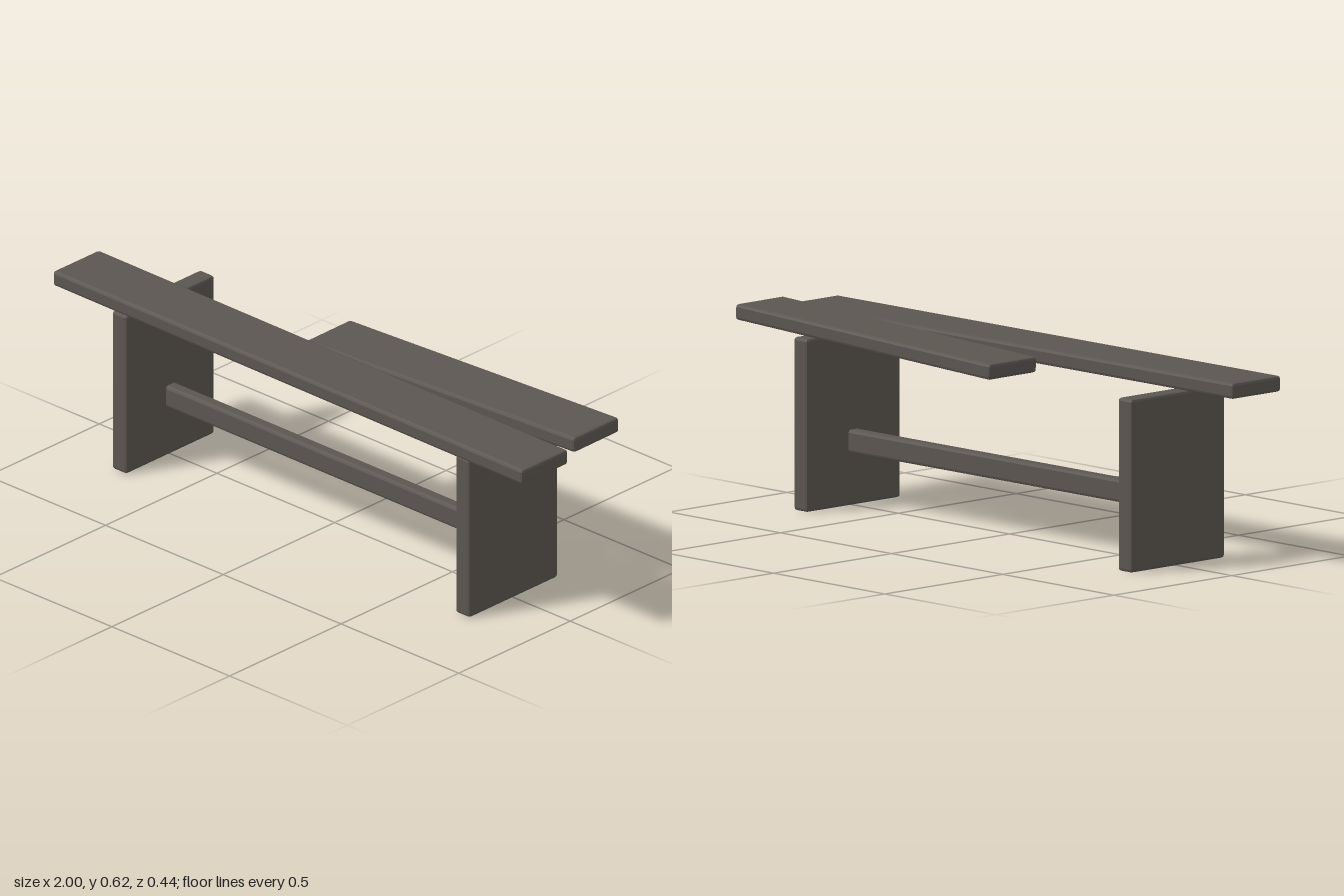
import * as THREE from 'three';
import { RoundedBoxGeometry } from 'three/addons/geometries/RoundedBoxGeometry.js';

const wood = new THREE.MeshStandardMaterial({ color: 0x5c5651, flatShading: true });

// A wooden board with narrow chamfered edges
function board(name, size, position, yaw = 0, roll = 0) {
  const mesh = new THREE.Mesh(new RoundedBoxGeometry(...size, 1, 0.009), wood);
  mesh.name = name;
  mesh.position.set(...position);
  mesh.rotation.set(0, yaw, roll);
  return mesh;
}

export function createModel() {
  const bench = new THREE.Group();
  bench.name = 'brokenBench';

  // Upright slab legs
  bench.add(board('rightLeg', [0.062, 0.543, 0.397], [-0.727, 0.2715, 0.001]));
  bench.add(board('leftLeg', [0.062, 0.543, 0.397], [0.731, 0.2715, 0.001]));

  // Rail between the legs
  bench.add(board('stretcher', [1.42, 0.072, 0.044], [0, 0.203, 0], 0, -0.002));

  // Full-length front plank
  bench.add(board('frontPlank', [2, 0.05, 0.206], [0, 0.572, 0.109], -0.003, -0.004));

  // Broken-off back plank, sagging at its free end
  bench.add(board('backPlank', [1.135, 0.05, 0.204], [0.43, 0.572, -0.118], 0.008, 0.039));

  return bench;
}
